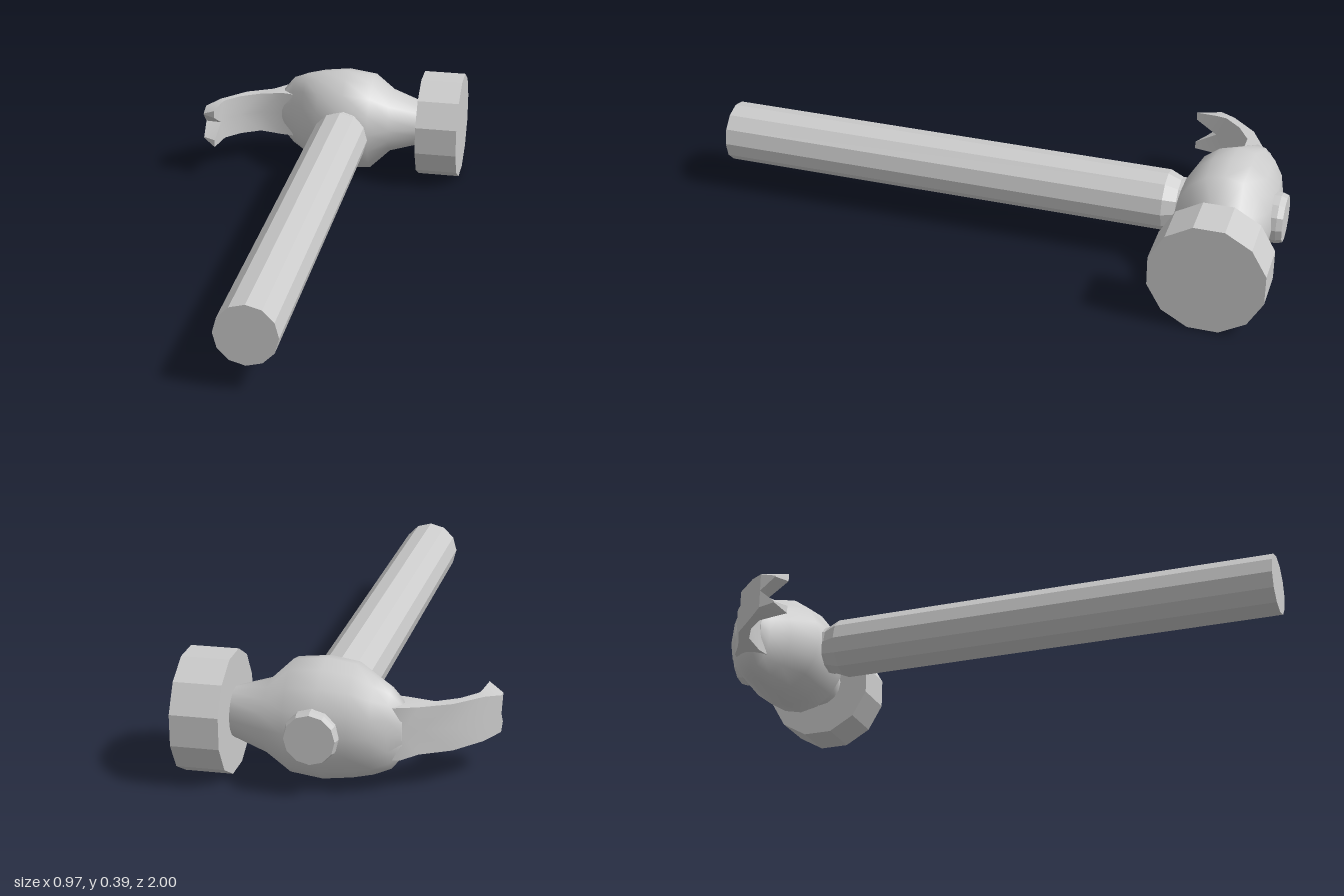
import * as THREE from 'three';
import { toCreasedNormals } from 'three/addons/utils/BufferGeometryUtils.js';

const grey = new THREE.MeshStandardMaterial({ color: 0xcccccc });
const flatGrey = new THREE.MeshStandardMaterial({ color: 0xcccccc, flatShading: true });
const CY = 0.2; // height of the tool's middle plane

function part(name, geometry, material) {
  const mesh = new THREE.Mesh(geometry, material);
  mesh.name = name;
  return mesh;
}

function fromTriangles(positions, crease) {
  const g = new THREE.BufferGeometry();
  g.setAttribute('position', new THREE.Float32BufferAttribute(positions, 3));
  return toCreasedNormals(g, crease);
}

// Adds a quad as two triangles; flip reverses its facing
function quad(out, a, b, c, d, flip = false) {
  const order = flip ? [a, c, b, a, d, c] : [a, b, c, a, c, d];
  order.forEach((p) => out.push(...p));
}

// Swollen head: elliptical sections [x, half height, back z, front z]
function headBody() {
  const sections = [
    [-0.215, 0.086, -0.89, -0.788],
    [-0.175, 0.135, -0.92, -0.77],
    [-0.125, 0.157, -0.95, -0.715],
    [-0.055, 0.183, -0.958, -0.638],
    [0.04, 0.196, -0.966, -0.624],
    [0.145, 0.183, -0.956, -0.628],
    [0.215, 0.118, -0.937, -0.69],
    [0.335, 0.08, -0.883, -0.725],
  ];
  const n = 16;
  const rings = sections.map(([x, h, z0, z1]) =>
    Array.from({ length: n }, (_, j) => {
      const a = (j / n) * Math.PI * 2;
      return [x, CY + h * Math.cos(a), (z0 + z1) / 2 + ((z1 - z0) / 2) * Math.sin(a)];
    }));
  const out = [];
  for (let i = 0; i < rings.length - 1; i++) {
    for (let j = 0; j < n; j++) {
      const k = (j + 1) % n;
      quad(out, rings[i][j], rings[i][k], rings[i + 1][k], rings[i + 1][j]);
    }
  }
  // Closing disc on the claw end
  const end = rings[0];
  for (let j = 1; j < n - 1; j++) out.push(...end[0], ...end[j + 1], ...end[j]);
  return fromTriangles(out, 0.9);
}

// Curved claw, built as mirrored upper and lower halves that part at a V notch.
// Stations: outer x, z, half height; inner x, z, half height; notch half width
function clawGeometry() {
  const stations = [
    [-0.15, -0.9, 0.085, -0.15, -0.78, 0.085, 0],
    [-0.21, -0.887, 0.086, -0.215, -0.79, 0.086, 0],
    [-0.26, -0.85, 0.078, -0.3, -0.788, 0.077, 0],
    [-0.357, -0.8, 0.077, -0.37, -0.746, 0.077, 0],
    [-0.44, -0.714, 0.074, -0.42, -0.69, 0.077, 0],
    [-0.486, -0.66, 0.062, -0.427, -0.655, 0.077, 0],
    [-0.483, -0.607, 0.05, -0.435, -0.58, 0.074, 0.046],
  ];
  const out = [];
  for (const s of [1, -1]) {
    const flip = s < 0;
    const rings = stations.map(([ox, oz, oh, ix, iz, ih, g]) => [
      [ox, CY + s * oh, oz],
      [ix, CY + s * ih, iz],
      [ix, CY + s * g, iz],
      [ox, CY + s * g, oz],
    ]);
    const last = rings.length - 1;
    for (let i = 0; i < last; i++) {
      for (let j = 0; j < 4; j++) {
        if (j === 2 && i < last - 1) continue; // notch wall only at the tip
        const k = (j + 1) % 4;
        quad(out, rings[i][j], rings[i + 1][j], rings[i + 1][k], rings[i][k], flip);
      }
    }
    const [a, b, c, d] = rings[last];
    quad(out, a, d, c, b, flip);
  }
  return fromTriangles(out, 0.75);
}

export function createModel() {
  const model = new THREE.Group();
  model.name = 'clawHammer';

  // Twelve-sided handle, necked where it passes through the head
  const profile = [
    [0, -0.99], [0.08, -0.99], [0.086, -0.97], [0.085, -0.63],
    [0.104, -0.585], [0.104, 1], [0, 1],
  ].map(([r, y]) => new THREE.Vector2(r, y));
  const handle = part('handle', new THREE.LatheGeometry(profile, 12).rotateX(Math.PI / 2), flatGrey);
  handle.position.set(0.05, CY, 0);

  // Twelve-sided striking face, a flat on top
  const face = part('strikingFace',
    new THREE.CylinderGeometry(0.198, 0.198, 0.155, 12, 1, false, Math.PI / 12).rotateZ(Math.PI / 2),
    flatGrey);
  face.position.set(0.4075, CY, -0.81);

  model.add(handle, face, part('headBody', headBody(), grey), part('claw', clawGeometry(), grey));
  return model;
}
